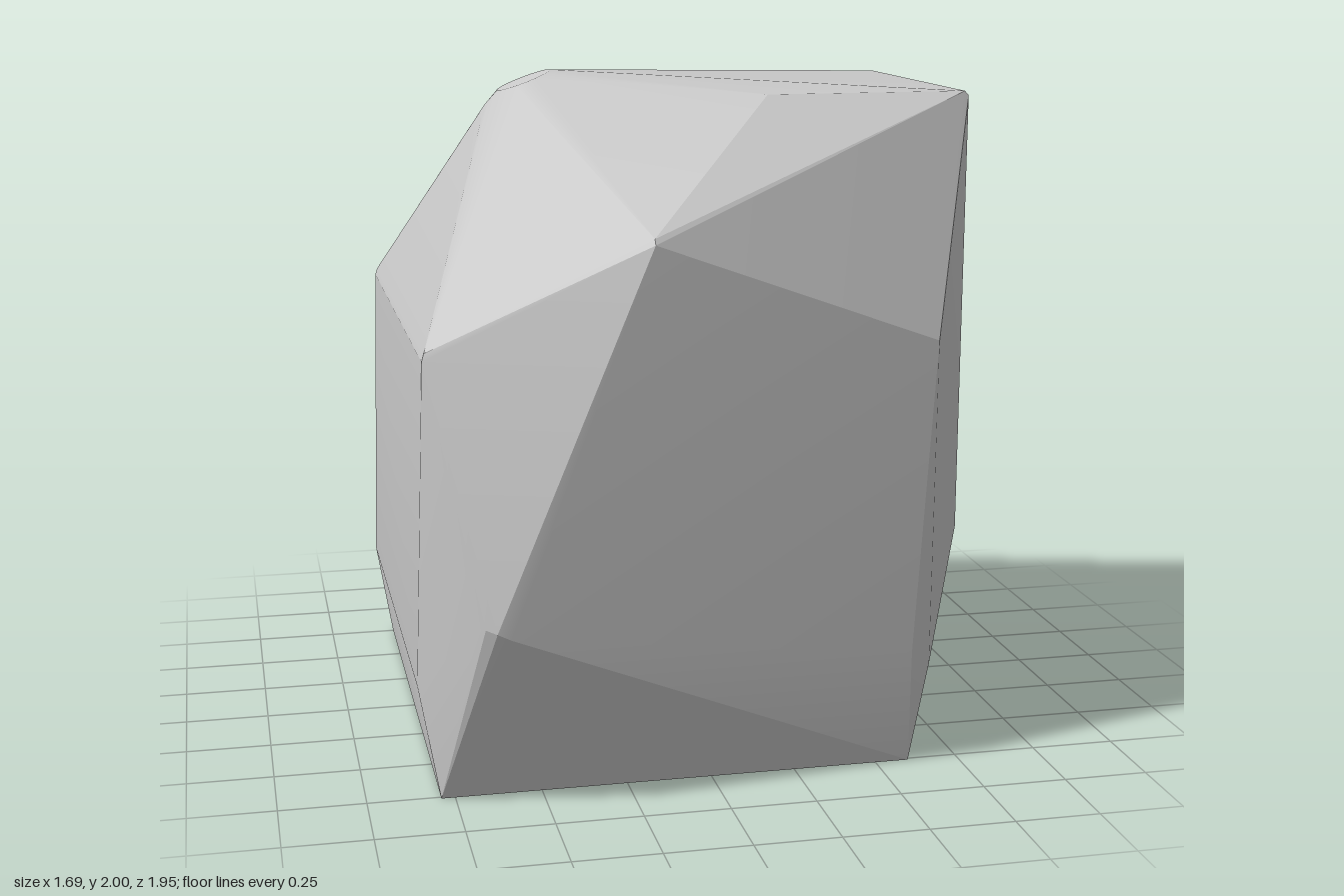
import * as THREE from 'three';
import { ConvexGeometry } from 'three/addons/geometries/ConvexGeometry.js';
import { toCreasedNormals } from 'three/addons/utils/BufferGeometryUtils.js';

// corners of one half of the boulder, mirrored across z = 0
const corners = [
  // base
  [-0.79, 0, 0.76], [0.6, 0, 0.76],
  // lower bulge, with a worn front corner
  [-0.845, 0.32, 0.7], [-0.7, 0.55, 0.935], [-0.68, 0.56, 0.96],
  [-0.65, 0.55, 0.975], [-0.61, 0.53, 0.973],
  [0.59, 0.35, 0.802], [0.655, 0.3, 0.768], [0.84, 0.62, 0.45],
  // shoulders, with narrow worn edges
  [-0.817, 1.268, 0.757], [-0.81, 1.29, 0.752],
  [-0.2, 1.592, 0.919], [-0.2, 1.608, 0.908],
  [0.66, 1.27, 0.768],
  // upper edge
  [0.842, 1.938, 0.45], [0.83, 1.951, 0.45], [0.23, 1.95, 0.45],
  // worn slope behind the peak
  [-0.53, 1.895, 0.03], [-0.55, 1.86, 0.05],
];

export function createModel() {
  const group = new THREE.Group();
  group.name = 'boulder';

  const points = [];
  for (const [x, y, z] of corners) {
    points.push(new THREE.Vector3(x, y, z), new THREE.Vector3(x, y, -z));
  }

  // small tilted round flat at the peak
  const sides = 16;
  for (let i = 0; i < sides; i++) {
    const a = (i / sides) * Math.PI * 2;
    const c = Math.cos(a);
    points.push(new THREE.Vector3(-0.415 + 0.08 * c, 1.97 + 0.03 * c, 0.08 * Math.sin(a)));
  }

  const stone = new THREE.MeshStandardMaterial({ color: 0xc8c8c8 });
  stone.name = 'stone grey';
  const rock = new THREE.Mesh(toCreasedNormals(new ConvexGeometry(points), 0.2), stone);
  rock.name = 'rock';
  group.add(rock);
  return group;
}
